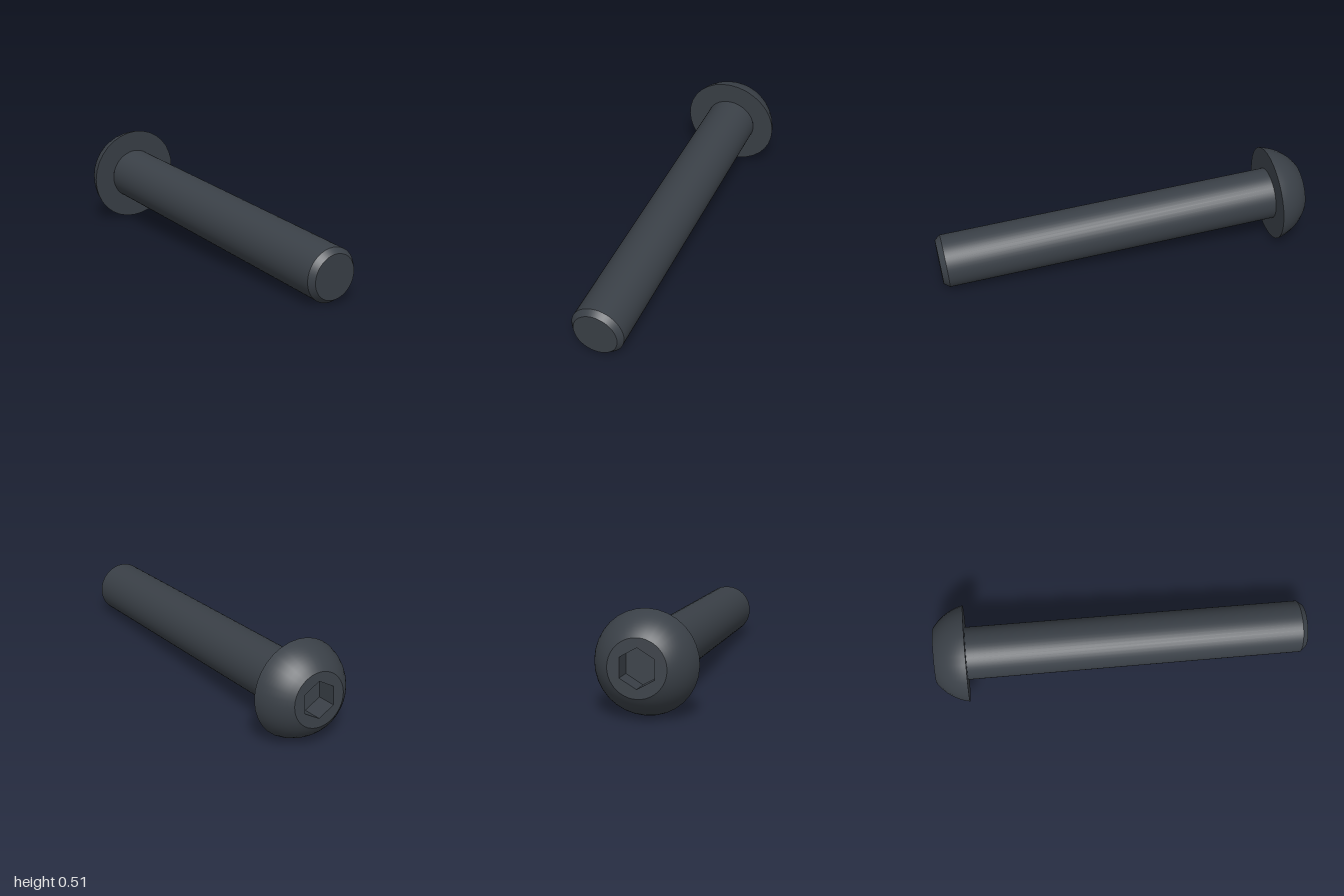
import * as THREE from 'three';

const SEG = 32;
const RIM = 0.2565, SHAFT = 0.14, FACE = 0.143, HEAD_H = 0.168;
const TIP_R = 0.117, CHAMFER = 0.03, LENGTH = 1.825;
const SOCKET_R = 0.097, SOCKET_DEPTH = 0.11;

export function createModel() {
  const steel = new THREE.MeshStandardMaterial({ color: 0x3a4047 });
  steel.name = 'darkSteel';

  // local +y runs from the head to the tip; y = 0 is the underside of the head
  const bolt = new THREE.Group();
  bolt.name = 'bolt';

  const add = (name, geometry, y = 0) => {
    const mesh = new THREE.Mesh(geometry, steel);
    mesh.name = name;
    mesh.position.y = y;
    bolt.add(mesh);
  };
  const lathe = (name, points, seg = SEG) =>
    add(name, new THREE.LatheGeometry(points.map(([r, y]) => new THREE.Vector2(r, y)), seg));

  // domed head: a slice of a sphere centred just past the underside
  const centre = 0.051, R = Math.hypot(RIM, centre);
  const a0 = Math.atan2(HEAD_H + centre, FACE), a1 = Math.atan2(centre, RIM);
  const dome = [];
  for (let i = 0; i <= 10; i++) {
    const a = a0 + (a1 - a0) * i / 10;
    dome.push([R * Math.cos(a), centre - R * Math.sin(a)]);
  }
  lathe('headDome', dome);
  lathe('headUnderside', [[RIM, 0], [SHAFT, 0]]);

  // flat head face with a hexagonal opening
  const face = new THREE.Shape().absarc(0, 0, FACE, 0, Math.PI * 2);
  const hex = [];
  for (let i = 0; i < 6; i++) {
    const a = Math.PI / 2 + i * Math.PI / 3;
    hex.push(new THREE.Vector2(SOCKET_R * Math.cos(a), SOCKET_R * Math.sin(a)));
  }
  face.holes.push(new THREE.Path(hex));
  add('headFace', new THREE.ShapeGeometry(face, SEG).rotateX(Math.PI / 2), -HEAD_H);

  // socket walls turned inward, and the socket floor
  const walls = new THREE.CylinderGeometry(SOCKET_R, SOCKET_R, SOCKET_DEPTH, 6, 1, true)
    .scale(-1, 1, 1).toNonIndexed();
  walls.computeVertexNormals();
  add('socketWalls', walls, -HEAD_H + SOCKET_DEPTH / 2);
  add('socketFloor', new THREE.ShapeGeometry(new THREE.Shape(hex)).rotateX(Math.PI / 2),
    -HEAD_H + SOCKET_DEPTH);

  // shaft, chamfer and end face
  lathe('shaft', [[SHAFT, 0], [SHAFT, LENGTH - CHAMFER]], 48);
  lathe('tipChamfer', [[SHAFT, LENGTH - CHAMFER], [TIP_R, LENGTH]], 48);
  add('tipFace', new THREE.CircleGeometry(TIP_R, 48).rotateX(-Math.PI / 2), LENGTH);

  // lay the bolt down on its head rim and tip
  const axis = new THREE.Vector3(1.775, -0.116, 0.383).normalize();
  const side = new THREE.Vector3().crossVectors(axis, new THREE.Vector3(0, 1, 0)).normalize();
  const up = new THREE.Vector3().crossVectors(side, axis);
  bolt.quaternion.setFromRotationMatrix(new THREE.Matrix4().makeBasis(side, axis, up));
  bolt.position.set(-0.805, 0.256, -0.133);

  const model = new THREE.Group();
  model.name = 'buttonHeadBolt';
  model.add(bolt);
  return model;
}
